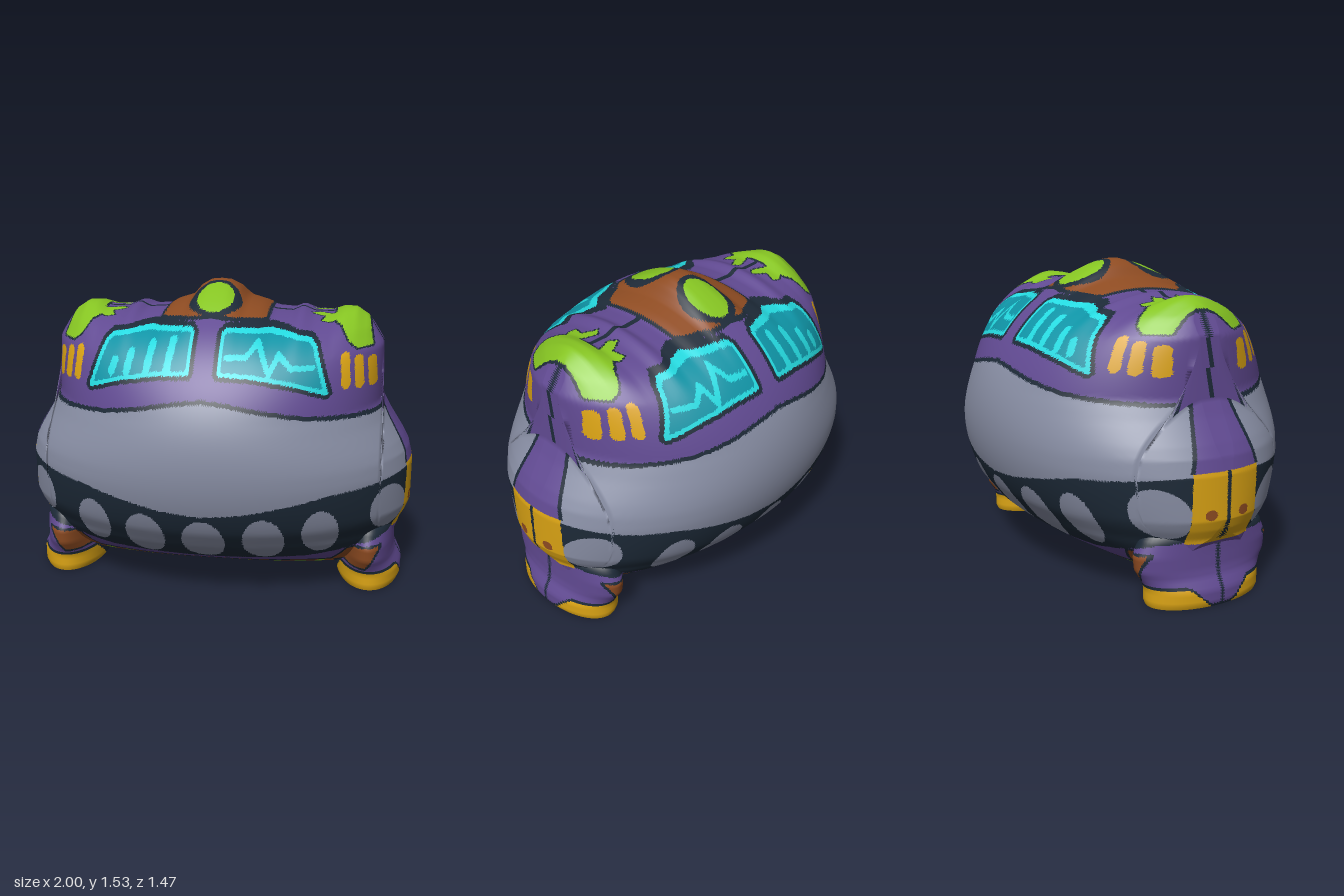
import * as THREE from 'three';

const material = (name, color) => Object.assign(new THREE.MeshStandardMaterial({ color }), { name });
const palette = [
  material('purple skin', 0x614a92), material('dark outline', 0x1d2a38), material('grey belly', 0x898fa5),
  material('teal glass', 0x0f94a6), material('cyan glow', 0x24d9df), material('gold', 0xdaa314),
  material('brown', 0x8f4c22), material('green', 0x86c522), material('red', 0xcf281b),
];
const [PURPLE, DARK, GREY, TEAL, CYAN, GOLD, BROWN, GREEN, RED] = palette.keys();

// ---- 2D helpers used to lay out the painted areas
const lerpTable = (pts, x) => {
  for (let i = 1; i < pts.length; i++) {
    const [x0, y0] = pts[i - 1], [x1, y1] = pts[i];
    if (x <= x1) return y0 + (y1 - y0) * Math.max(0, (x - x0) / (x1 - x0));
  }
  return pts[pts.length - 1][1];
};
const segDist = (x, y, [ax, ay], [bx, by]) => {
  const dx = bx - ax, dy = by - ay;
  const t = THREE.MathUtils.clamp(((x - ax) * dx + (y - ay) * dy) / (dx * dx + dy * dy), 0, 1);
  return Math.hypot(x - ax - t * dx, y - ay - t * dy);
};
const lineDist = (pts, x, y) => {
  let d = 9;
  for (let i = 1; i < pts.length; i++) d = Math.min(d, segDist(x, y, pts[i - 1], pts[i]));
  return d;
};
// Signed distance to a closed polygon, negative inside
const polyDist = (pts, x, y) => {
  let inside = false;
  pts.forEach(([ax, ay], i) => {
    const [bx, by] = pts[(i + 1) % pts.length];
    if ((ay > y) !== (by > y) && x < ax + ((y - ay) / (by - ay)) * (bx - ax)) inside = !inside;
  });
  const d = lineDist([...pts, pts[0]], x, y);
  return inside ? -d : d;
};
const inEllipse = (x, y, cx, cy, rx, ry) => ((x - cx) / rx) ** 2 + ((y - cy) / ry) ** 2 < 1;

// ---- Layout of the painted areas
const windowPane = [[0.045, 1.35], [0.075, 1.383], [0.3, 1.37], [0.49, 1.335], [0.525, 1.3], [0.595, 1.08], [0.57, 1.055], [0.4, 1.11], [0.22, 1.145], [0.06, 1.155], [0.045, 1.18]];
const bars = [[0.16, 1.19, 1.31], [0.26, 1.18, 1.29], [0.36, 1.17, 1.25], [0.44, 1.16, 1.21]];
const pulse = [[0.1, 1.25], [0.19, 1.25], [0.24, 1.31], [0.3, 1.18], [0.34, 1.26], [0.4, 1.2], [0.5, 1.2]];
const ear = [[0.775, 1.26], [0.755, 1.36], [0.72, 1.45], [0.6, 1.45], [0.585, 1.37], [0.62, 1.355], [0.66, 1.29], [0.7, 1.26]];
const earFrill = [[0.47, 0.07], [0.5, 0.04], [0.61, 0.08], [0.61, 0.14], [0.56, 0.18], [0.52, 0.17], [0.54, 0.11]]; // in x, z
const hipPatch = [[0.85, 0.265], [0.69, 0.245], [0.61, 0.14], [0.78, 0.13]];
const spots = [[0, 0.35, 0.105, 0.135], [0.29, 0.36, 0.1, 0.14], [0.56, 0.395, 0.088, 0.135], [0.88, 0.47, 0.085, 0.125]];
const squiggles = [ // in x, z
  [[0.33, 0.27], [0.38, 0.14], [0.45, 0.26], [0.5, 0.13], [0.56, 0.25]],
  [[0.14, 0.14], [0.2, 0.26], [0.25, 0.24], [0.25, 0.14], [0.31, 0.13]],
];
const hoodEdge = [[0, 1.07], [0.12, 1.055], [0.47, 0.985], [0.8, 0.95], [1, 0.95]];
const bandTop = [[0, 0.51], [0.2, 0.53], [0.38, 0.565], [0.6, 0.61], [0.8, 0.625], [1, 0.65]];
const bandBottom = [[0, 0.2], [0.5, 0.22], [0.7, 0.26], [0.85, 0.31], [1, 0.335]];

// Colour of the skin at a point
function paint(px, y, pz) {
  const x = Math.abs(px), z = Math.abs(pz);
  if (y < 0.001) return GREY; // soles
  // feet
  const toe = 0.095 * THREE.MathUtils.smoothstep(z, 0.04, 0.18);
  if (x > 0.62 && y < toe) return GOLD;
  if (x > 0.62 && y < toe + 0.014) return DARK;
  // flank plates
  if (x > 0.85 && z < 0.18 && y > 0.31 && y < 0.66) {
    if (z < 0.01) return DARK;
    return inEllipse(z, y, 0.09, 0.46, 0.03, 0.025) ? BROWN : GOLD;
  }
  const strip = 0.17 - 0.25 * (y - 0.66);
  if (x > 0.8 && y >= 0.66 && y < 0.98 && z < strip + 0.02) return z < strip ? PURPLE : DARK;
  // underside
  if (y < 0.14 && x < 0.62) {
    if (inEllipse(x, z, 0, 0.23, 0.095, 0.11)) {
      return inEllipse(x, z, 0.035, 0.24, 0.02, 0.025) ? GREY : RED;
    }
    return squiggles.some((s) => lineDist(s, x, z) < 0.021) ? GREEN : BROWN;
  }
  const hip = polyDist(hipPatch, x, y);
  if (hip < 0.012) return hip < 0 ? BROWN : DARK;
  if (y < 0.155 && x < 0.66) return DARK;
  const low = lerpTable(bandBottom, x), high = lerpTable(bandTop, x), hood = lerpTable(hoodEdge, x);
  if (y < low) return z < 0.01 ? DARK : PURPLE;
  if (y < high) return spots.some((s) => inEllipse(x, y, ...s)) ? GREY : DARK;
  if (y < hood - 0.012) return GREY;
  if (y < hood + 0.008) return DARK;
  // crest on top
  const crest = y - (1.395 - 0.1 * x);
  if (x < 0.27 && crest > 0) {
    if (inEllipse(x, z, 0, 0.185, 0.092, 0.12)) return GREEN;
    if (inEllipse(x, z, 0, 0.185, 0.13, 0.15)) return DARK;
    return crest < 0.014 || x > 0.255 ? DARK : BROWN;
  }
  // windows
  const pane = polyDist(windowPane, x, y);
  if (pane < -0.037) {
    const lit = px < 0
      ? bars.some(([bx, y0, y1]) => segDist(x, y, [bx + 0.015, y0], [bx, y1]) < 0.018)
      : lineDist(pulse, x, y) < 0.012;
    return lit ? CYAN : TEAL;
  }
  if (pane < 0) return pane < -0.018 ? CYAN : DARK;
  // cheek stripes
  for (let i = 0; i < 3; i++) {
    const sx = 0.648 + i * 0.064;
    if (segDist(x, y, [sx + 0.006, 1.11 - i * 0.01], [sx - 0.003, 1.23 - i * 0.018]) < 0.021) return GOLD;
  }
  // ears
  const e = Math.min(polyDist(ear, x, y), y > 1.34 ? polyDist(earFrill, x, z) : 9);
  if (e < 0) return GREEN;
  return e < 0.008 || z < 0.01 ? DARK : PURPLE;
}

// Skin a series of closed cross-sections, one material group per colour;
// triangles that straddle a colour border are split in four for a cleaner edge
function skin(name, rings) {
  const n = rings[0].length, index = [], buckets = palette.map(() => []);
  for (let i = 0; i < rings.length - 1; i++) {
    for (let j = 0; j < n; j++) {
      const k = (j + 1) % n;
      const a = i * n + j, b = a + n, c = (i + 1) * n + k, d = i * n + k;
      index.push(a, b, c, a, c, d);
    }
  }
  const smooth = new THREE.BufferGeometry();
  smooth.setAttribute('position', new THREE.Float32BufferAttribute(rings.flat(2), 3));
  smooth.setIndex(index);
  smooth.computeVertexNormals();
  const { position, normal } = smooth.attributes;
  const corner = (id) => [position, normal].flatMap((t) => [t.getX(id), t.getY(id), t.getZ(id)]);
  const middle = (p, q) => p.map((v, k) => (v + q[k]) / 2);
  const addFace = (p, q, r, splits) => {
    const color = paint(...[0, 1, 2].map((k) => (p[k] + q[k] + r[k]) / 3));
    if (splits && [p, q, r].some((v) => paint(v[0], v[1], v[2]) !== color)) {
      const pq = middle(p, q), qr = middle(q, r), rp = middle(r, p);
      [[p, pq, rp], [pq, q, qr], [rp, qr, r], [pq, qr, rp]].forEach((f) => addFace(...f, splits - 1));
    } else buckets[color].push(p, q, r);
  };
  for (let i = 0; i < index.length; i += 3) addFace(...index.slice(i, i + 3).map(corner), 1);
  const corners = buckets.flat(), geo = new THREE.BufferGeometry();
  geo.setAttribute('position', new THREE.Float32BufferAttribute(corners.flatMap((v) => v.slice(0, 3)), 3));
  geo.setAttribute('normal', new THREE.Float32BufferAttribute(corners.flatMap((v) => v.slice(3)), 3));
  let start = 0;
  buckets.forEach((b, m) => {
    if (b.length) geo.addGroup(start, b.length, m);
    start += b.length;
  });
  const mesh = new THREE.Mesh(geo, palette);
  mesh.name = name;
  return mesh;
}

// Body: sections strung along x between a top and a bottom line; every level is an oval seen from above
const topLine = [[0, 1.535], [0.05, 1.53], [0.1, 1.5], [0.14, 1.45], [0.23, 1.42], [0.28, 1.39], [0.37, 1.385], [0.42, 1.41], [0.48, 1.385], [0.57, 1.385], [0.63, 1.41], [0.69, 1.41], [0.75, 1.37], [0.8, 1.29], [0.831, 1.24], [0.836, 0.97], [0.88, 0.885], [0.95, 0.775], [0.98, 0.72], [1, 0.64]];
const bottomLine = [[0, 0.065], [0.62, 0.065], [0.7, 0.08], [0.8, 0.14], [0.9, 0.25], [0.95, 0.33], [0.98, 0.38], [1, 0.43]];
const halfWidth = [[0.065, 0.92], [0.17, 0.935], [0.33, 0.955], [0.38, 0.982], [0.43, 1], [0.64, 1], [0.72, 0.981], [0.775, 0.952], [0.885, 0.882], [0.97, 0.838], [1.24, 0.834], [1.29, 0.808], [1.33, 0.792], [1.37, 0.765], [1.42, 0.74]];
const lowDepth = [[0.065, 0.315], [0.12, 0.345], [0.16, 0.39], [0.2, 0.45], [0.25, 0.515], [0.3, 0.57], [0.4, 0.646]];
const highDepth = [[1.36, 0.41], [1.41, 0.33], [1.45, 0.275], [1.5, 0.2], [1.535, 0.13]];
const oval = (t) => Math.sqrt(Math.max(0, 1 - t * t));
function halfDepth(y) {
  if (y < 0.4) return lerpTable(lowDepth, y);
  return y > 1.36 ? lerpTable(highDepth, y) : 0.735 * oval((y - 0.75) / 0.735);
}
function bodyRings(columns = 184, segments = 190) {
  return Array.from({ length: columns + 1 }, (_, i) => {
    const s = (2 * i) / columns - 1, x = s * (1.5 - 0.5 * s * s), ax = Math.abs(x);
    const top = lerpTable(topLine, ax), bottom = lerpTable(bottomLine, ax);
    const rounding = 1 - THREE.MathUtils.smoothstep(ax, 0.72, 0.83);
    return Array.from({ length: segments }, (_, j) => {
      const a = (j / segments) * Math.PI * 2, v = -Math.cos(a);
      const y = (top + bottom) / 2 + (v * (top - bottom)) / 2;
      const z = halfDepth(y) * oval(ax / lerpTable(halfWidth, y)) * (1 - rounding * (1 - oval(v ** 7)));
      return [x, y, Math.sign(Math.round(Math.sin(a) * 1e6)) * z];
    });
  });
}

// Leg: flat oval sole flaring up into the body [y, centre x, radius x, radius z]
const legProfile = [[0, 0.8, 0.001, 0.001], [0, 0.8, 0.16, 0.305], [0, 0.8, 0.16, 0.305], [0.02, 0.8, 0.17, 0.313], [0.08, 0.8, 0.17, 0.313], [0.11, 0.795, 0.16, 0.322], [0.14, 0.79, 0.148, 0.34], [0.18, 0.79, 0.14, 0.365], [0.25, 0.79, 0.137, 0.375], [0.33, 0.79, 0.137, 0.34], [0.4, 0.79, 0.1, 0.28]];
function legRings(side) {
  const rings = [];
  legProfile.forEach((p, i) => {
    const next = legProfile[i + 1], steps = next && i > 1 ? Math.max(1, Math.round((next[0] - p[0]) / 0.015)) : 1;
    for (let s = 0; s < steps; s++) {
      const [y, cx, rx, rz] = next ? p.map((v, k) => v + ((next[k] - v) * s) / steps) : p;
      rings.push(Array.from({ length: 64 }, (_, j) => {
        const a = (j / 64) * Math.PI * 2;
        return [side * cx - rx * Math.sin(a), y, rz * Math.cos(a)];
      }));
    }
  });
  return rings;
}

export function createModel() {
  const model = new THREE.Group();
  model.name = 'armoured creature';
  model.add(skin('body', bodyRings()), skin('leftLeg', legRings(1)), skin('rightLeg', legRings(-1)));
  return model;
}
